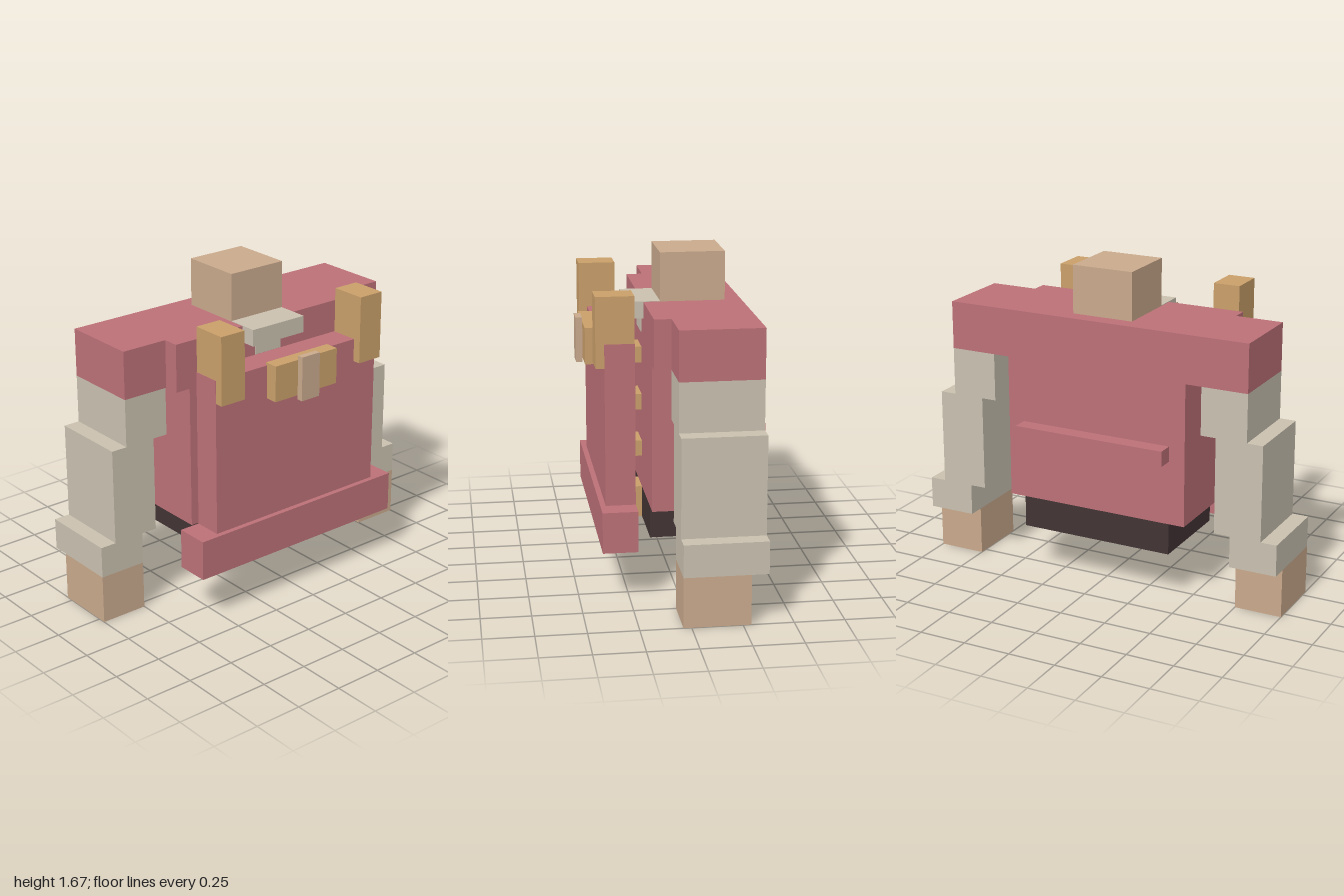
import * as THREE from 'three';

const mat = (name, color) => {
  const m = new THREE.MeshStandardMaterial({ color });
  m.name = name;
  return m;
};

export function createModel() {
  const red = mat('dustyRed', 0xbb7077);
  const cloth = mat('paleCloth', 0xc9c0af);
  const skin = mat('skin', 0xc9a98c);
  const gold = mat('gold', 0xc99f6a);
  const dark = mat('darkBrown', 0x423334);

  const model = new THREE.Group();
  model.name = 'blockFigure';

  // Box given by its extents on each axis
  const box = (name, material, [x0, x1], [y0, y1], [z0, z1]) => {
    const mesh = new THREE.Mesh(new THREE.BoxGeometry(x1 - x0, y1 - y0, z1 - z0), material);
    mesh.position.set((x0 + x1) / 2, (y0 + y1) / 2, (z0 + z1) / 2);
    mesh.name = name;
    model.add(mesh);
  };
  const centred = (name, material, halfWidth, y, z) =>
    box(name, material, [-halfWidth, halfWidth], y, z);
  const pair = (name, material, [x0, x1], y, z) => {
    box(name + 'Left', material, [x0, x1], y, z);
    box(name + 'Right', material, [-x1, -x0], y, z);
  };

  // Coat body
  centred('shoulders', red, 0.83, [1.17, 1.42], [-0.375, 0.04]);
  centred('chest', red, 0.58, [1.17, 1.42], [0.04, 0.125]);
  centred('torso', red, 0.5, [0.42, 1.17], [-0.375, 0.125]);
  centred('hips', dark, 0.415, [0.255, 0.42], [-0.375, 0.125]);
  centred('backBelt', red, 0.415, [0.755, 0.835], [-0.46, -0.375]);

  // Neck and collar
  centred('neck', skin, 0.165, [1.42, 1.67], [-0.29, 0.04]);
  centred('collar', cloth, 0.165, [1.335, 1.423], [0.04, 0.21]);
  centred('collarPoint', cloth, 0.083, [1.25, 1.335], [0.122, 0.129]);

  // Stepped sleeves and hands
  const armDepth = [-0.375, 0.04];
  pair('upperSleeve', cloth, [0.585, 0.83], [0.92, 1.17], armDepth);
  pair('middleSleeve', cloth, [0.665, 0.915], [0.42, 0.92], armDepth);
  pair('lowerSleeve', cloth, [0.75, 1.0], [0.255, 0.42], armDepth);
  pair('hand', skin, [0.75, 1.0], [0, 0.255], [-0.29, 0.04]);

  // Button row and lower clasp
  for (const y of [0.587, 0.837, 1.087]) {
    centred('button', gold, 0.083, [y, y + 0.083], [0.125, 0.21]);
  }
  centred('lowerClasp', gold, 0.083, [0.255, 0.42], [0.125, 0.21]);

  // Front panel with hem, straps and buckle
  centred('frontPanel', red, 0.522, [0.47, 1.29], [0.21, 0.36]);
  centred('frontPanelHem', red, 0.633, [0.26, 0.47], [0.21, 0.387]);
  pair('strap', gold, [0.377, 0.52], [1.17, 1.525], [0.212, 0.403]);
  centred('buckle', gold, 0.2, [1.115, 1.303], [0.35, 0.425]);
  centred('bucklePin', skin, 0.057, [1.093, 1.325], [0.425, 0.458]);

  return model;
}
